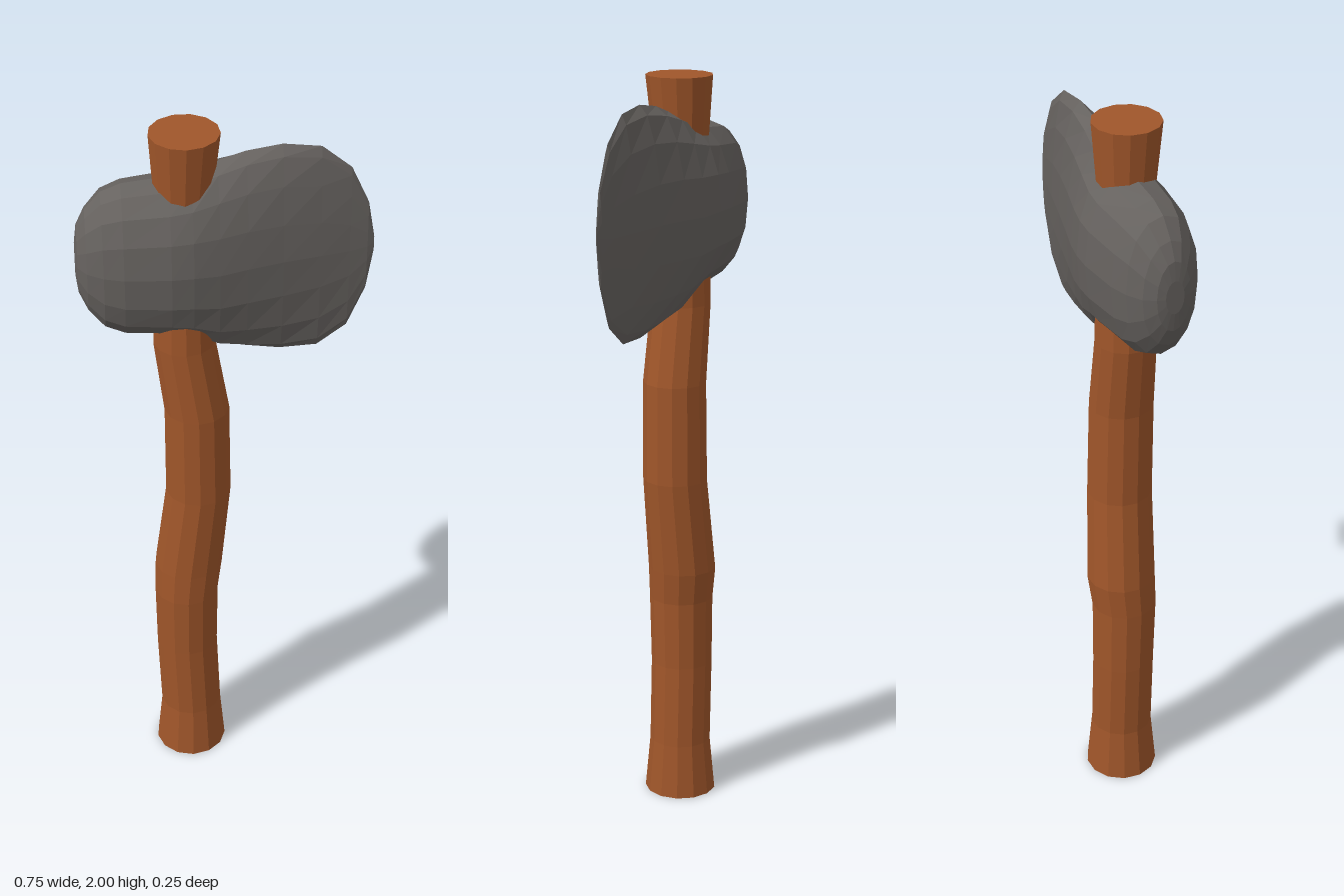
import * as THREE from 'three';

// Skin a list of equal-length rings and close both ends.
// Rings run counterclockwise as seen from the sweep's far end.
function loft(rings) {
  const n = rings[0].length;
  const points = rings.flat();
  const index = [];
  for (let i = 0; i < rings.length - 1; i++) {
    for (let j = 0; j < n; j++) {
      const a = i * n + j, b = i * n + (j + 1) % n;
      index.push(a, b, a + n, b, b + n, a + n);
    }
  }
  const cap = (ring, start, far) => {
    const c = ring.reduce((s, p) => s.add(p), new THREE.Vector3()).divideScalar(n);
    const k = points.push(c) - 1;
    for (let j = 0; j < n; j++) {
      const a = start + j, b = start + (j + 1) % n;
      index.push(k, far ? a : b, far ? b : a);
    }
  };
  cap(rings[0], 0, false);
  cap(rings[rings.length - 1], (rings.length - 1) * n, true);
  const g = new THREE.BufferGeometry().setFromPoints(points);
  g.setIndex(index);
  const flat = g.toNonIndexed();
  flat.computeVertexNormals();
  return flat;
}

function ring(sides, place) {
  return Array.from({ length: sides }, (_, j) => place(j / sides * Math.PI * 2));
}

const signedPow = (v, p) => Math.sign(v) * Math.abs(v) ** p;

function part(name, geometry, color) {
  const mesh = new THREE.Mesh(geometry, new THREE.MeshStandardMaterial({ color, flatShading: true }));
  mesh.name = name;
  return mesh;
}

export function createModel() {
  const group = new THREE.Group();
  group.name = 'stoneAxe';

  // Crooked wooden handle: y, centre x, centre z, radius
  const handle = [
    [0, -0.1, 0, 0.098],
    [0.15, -0.099, 0, 0.084],
    [0.38, -0.108, 0, 0.084],
    [0.57, -0.108, 0.002, 0.087],
    [0.66, -0.101, -0.004, 0.092],
    [0.92, -0.073, 0.004, 0.087],
    [1.19, -0.075, 0.007, 0.085],
    [1.4, -0.105, 0.004, 0.08],
    [1.83, -0.103, 0.004, 0.073],
    [2, -0.099, 0.007, 0.088],
  ].map(([y, x, z, r]) => ring(13, a => new THREE.Vector3(x + r * Math.sin(a), y, z + r * Math.cos(a))));
  group.add(part('handle', loft(handle), 0xa0562a));

  // Stone head, blunt at the back and thin at the blade:
  // x, top y, bottom y, half thickness, roundness of the section
  const head = [
    [-0.373, 1.7, 1.61, 0.025, 2],
    [-0.367, 1.75, 1.56, 0.046, 2],
    [-0.345, 1.795, 1.51, 0.073, 2.1],
    [-0.305, 1.842, 1.463, 0.097, 2.2],
    [-0.255, 1.863, 1.443, 0.112, 2.2],
    [-0.14, 1.877, 1.437, 0.125, 2.2],
    [-0.085, 1.888, 1.425, 0.121, 2.15],
    [-0.02, 1.915, 1.387, 0.106, 2],
    [0.05, 1.938, 1.37, 0.087, 1.9],
    [0.14, 1.953, 1.357, 0.063, 1.8],
    [0.235, 1.942, 1.362, 0.038, 1.7],
    [0.31, 1.88, 1.42, 0.018, 1.7],
    [0.355, 1.78, 1.53, 0.008, 1.7],
    [0.372, 1.68, 1.64, 0.001, 1.7],
  ].map(([x, top, bottom, t, e]) => ring(16, a => new THREE.Vector3(
    x,
    (top + bottom) / 2 + (top - bottom) / 2 * signedPow(Math.cos(a), 2 / e),
    t * signedPow(Math.sin(a), 2 / e),
  )));
  group.add(part('stoneHead', loft(head), 0x66625f));

  return group;
}
